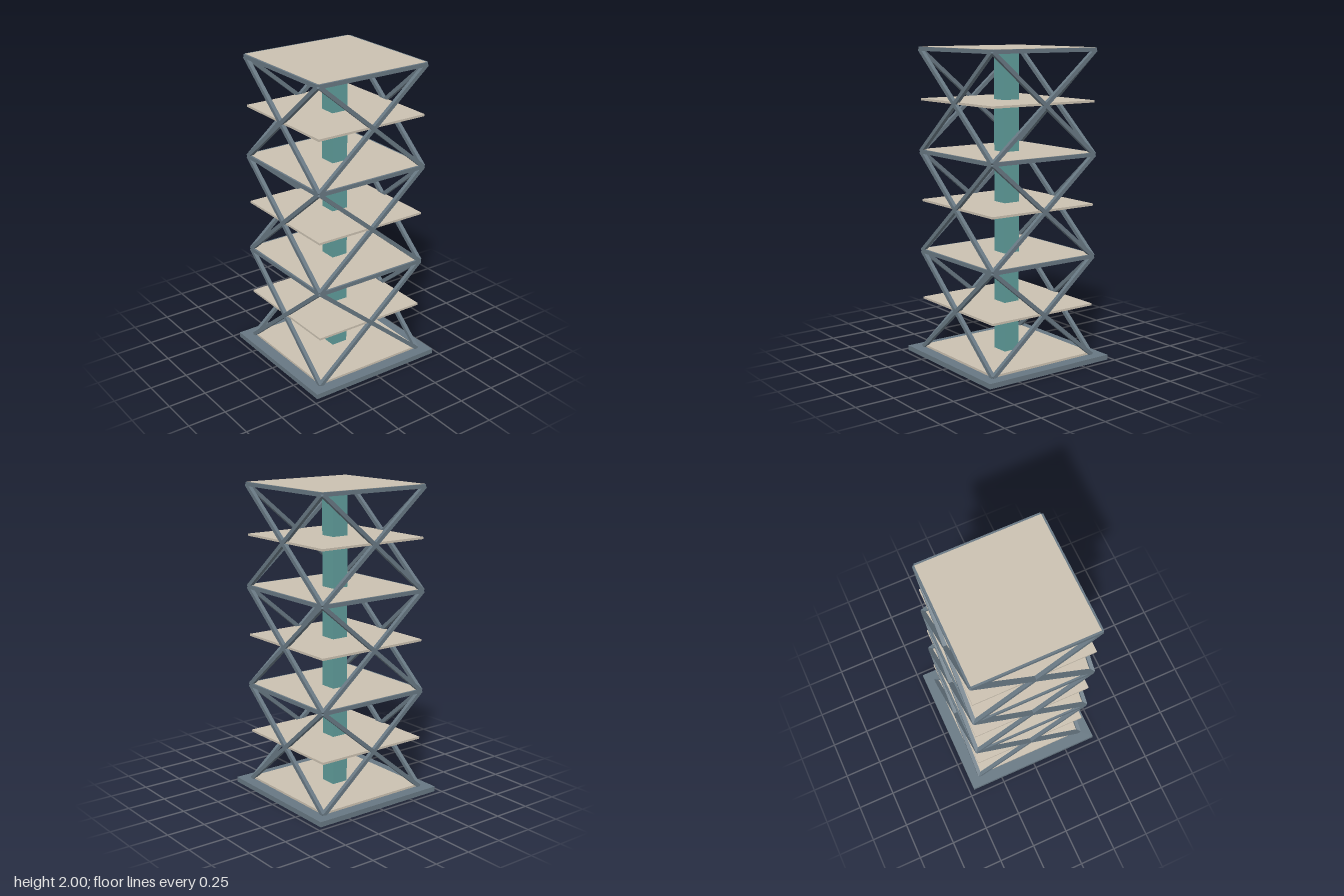
import * as THREE from 'three';

const HALF = 0.39;      // half width of the floors and frame
const BASE = 0.033;     // top of the base plate
const STEP = 0.3255;    // floor to floor height
const SLAB = 0.014;     // floor thickness
const BAR = 0.025;      // frame bar thickness

export function createModel() {
  const steel = new THREE.MeshStandardMaterial({ color: 0x677782 });
  steel.name = 'slate steel';
  const floorMat = new THREE.MeshStandardMaterial({ color: 0xcac0b0 });
  floorMat.name = 'pale concrete';
  const coreMat = new THREE.MeshStandardMaterial({ color: 0x5f9c9a });
  coreMat.name = 'teal';

  const model = new THREE.Group();
  model.name = 'bracedTower';

  const box = (name, w, h, d, y, material, parent = model) => {
    const mesh = new THREE.Mesh(new THREE.BoxGeometry(w, h, d), material);
    mesh.name = name;
    mesh.position.y = y;
    parent.add(mesh);
    return mesh;
  };

  // Square bar lying in the plane z = HALF, between two points
  const bar = (name, x1, y1, x2, y2, parent) => {
    const length = Math.hypot(x2 - x1, y2 - y1);
    const mesh = box(name, length, BAR, BAR, (y1 + y2) / 2, steel, parent);
    mesh.position.x = (x1 + x2) / 2;
    mesh.position.z = HALF;
    mesh.rotation.z = Math.atan2(y2 - y1, x2 - x1);
  };

  // Base plate and central core
  box('basePlate', 0.932, BASE, 0.932, BASE / 2, steel);
  const coreHeight = STEP * 6;
  box('core', 0.112, coreHeight, 0.112, BASE + coreHeight / 2, coreMat);

  // Seven floors
  for (let i = 0; i <= 6; i++) {
    box(`floor${i}`, HALF * 2, SLAB, HALF * 2, BASE + i * STEP + SLAB / 2, floorMat);
  }

  // Four identical frames, each with three crossed bays
  for (let s = 0; s < 4; s++) {
    const frame = new THREE.Group();
    frame.name = `sideFrame${s}`;
    frame.rotation.y = s * Math.PI / 2;
    for (let b = 0; b < 3; b++) {
      const low = BASE + b * 2 * STEP;
      const high = low + 2 * STEP;
      bar('risingBrace', -HALF, low, HALF, high, frame);
      bar('fallingBrace', -HALF, high, HALF, low, frame);
      bar('ringBeam', -HALF, high, HALF, high, frame);
    }
    model.add(frame);
  }
  return model;
}
